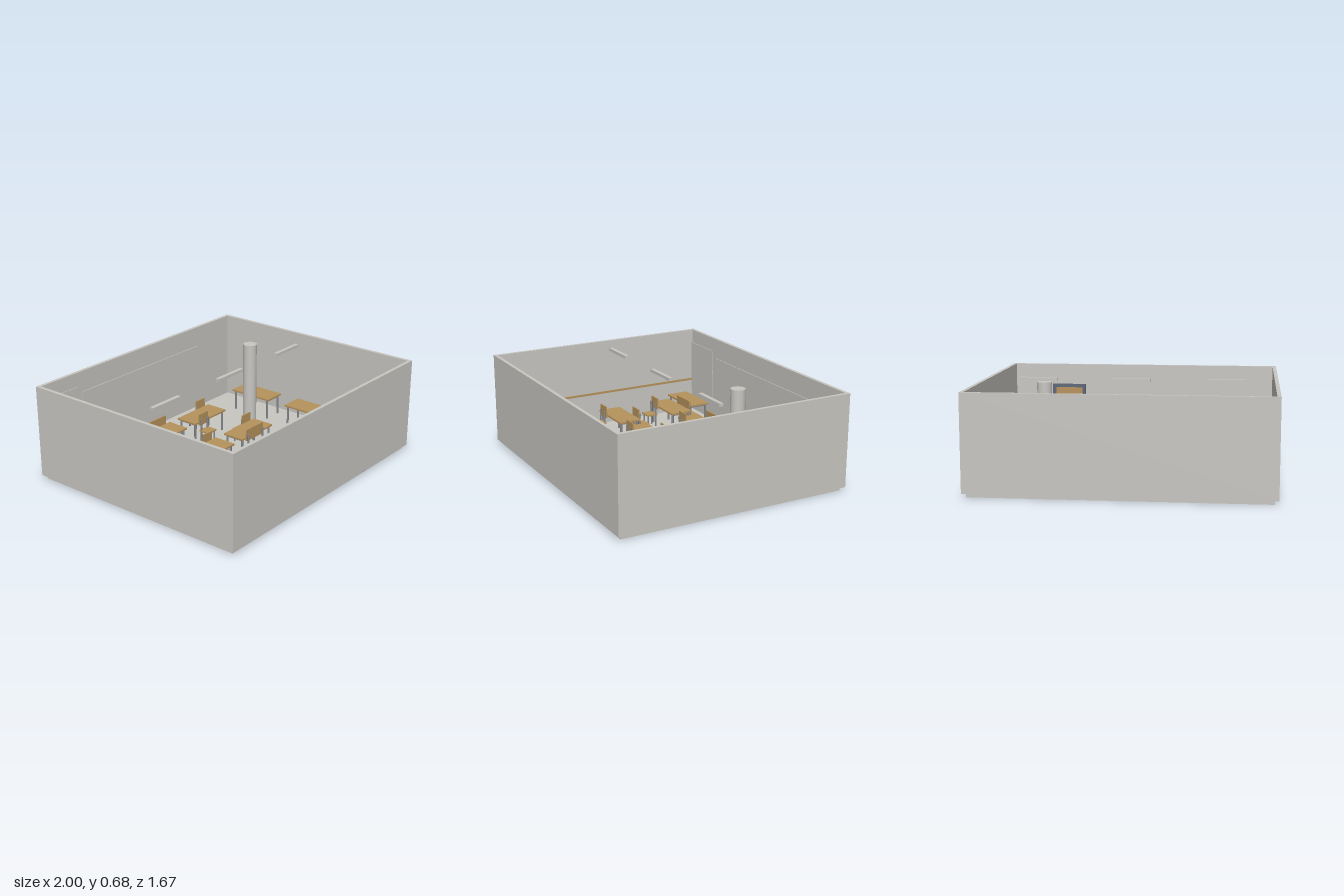
import * as THREE from 'three';

const mat = (name, color) => {
  const m = new THREE.MeshStandardMaterial({ color });
  m.name = name;
  return m;
};

export function createModel() {
  const plaster = mat('pale grey plaster', 0xc8c6c1);
  const wood = mat('light wood', 0xb5925c);
  const frameBlue = mat('slate blue frame', 0x5b6675);
  const steel = mat('grey steel', 0x85888c);

  const room = new THREE.Group();
  room.name = 'classroom';
  const FLOOR = 0.028;

  const add = (parent, name, geometry, material) => {
    const mesh = new THREE.Mesh(geometry, material);
    mesh.name = name;
    parent.add(mesh);
    return mesh;
  };
  // Box given by its lower and upper limits on each axis
  const box = (parent, name, material, [x0, x1], [y0, y1], [z0, z1]) => {
    const m = add(parent, name, new THREE.BoxGeometry(x1 - x0, y1 - y0, z1 - z0), material);
    m.position.set((x0 + x1) / 2, (y0 + y1) / 2, (z0 + z1) / 2);
    return m;
  };
  const leg = (parent, name, x, z, y0, y1, r) => {
    const m = add(parent, name, new THREE.CylinderGeometry(r, r, y1 - y0, 10), steel);
    m.position.set(x, (y0 + y1) / 2, z);
  };
  const rect = (path, w, d) => path
    .moveTo(-w, -d).lineTo(w, -d).lineTo(w, d).lineTo(-w, d).closePath();

  // Floor slab and the open ring of walls
  box(room, 'floor', plaster, [-0.974, 0.974], [0, FLOOR], [-0.812, 0.812]);
  const ring = new THREE.Shape();
  rect(ring, 1, 0.837);
  const hole = new THREE.Path();
  rect(hole, 0.975, 0.813);
  ring.holes.push(hole);
  const walls = new THREE.ExtrudeGeometry(ring, { depth: 0.648, bevelEnabled: false });
  walls.rotateX(-Math.PI / 2);
  add(room, 'walls', walls, plaster).position.y = 0.027;

  // Column
  const column = add(room, 'column', new THREE.CylinderGeometry(0.05, 0.05, 0.647, 32), plaster);
  column.position.set(0.56, FLOOR + 0.3235, -0.263);

  // Ceiling light bars
  for (const x of [-0.65, 0, 0.65]) {
    box(room, 'ceilingLight', plaster, [x - 0.13, x + 0.13], [0.653, 0.673], [-0.014, 0.014]);
  }

  // Wall panels and the wooden rail
  box(room, 'screenPanel', plaster, [-0.975, -0.657], [0.2, 0.573], [-0.814, -0.808]);
  box(room, 'writingBoard', plaster, [-0.612, 0.605], [0.2, 0.526], [-0.814, -0.807]);
  box(room, 'wallRail', wood, [-0.976, -0.971], [0.264, 0.28], [-0.813, 0.813]);

  // Door with its frame, set into the front wall
  const door = new THREE.Group();
  door.name = 'door';
  room.add(door);
  for (const x of [0.439, 0.667]) {
    box(door, 'doorJamb', frameBlue, [x, x + 0.024], [0.021, 0.524], [0.793, 0.832]);
  }
  box(door, 'doorHead', frameBlue, [0.463, 0.667], [0.5, 0.524], [0.793, 0.832]);
  box(door, 'doorLeaf', wood, [0.463, 0.667], [FLOOR, 0.5], [0.801, 0.83]);

  // Desk: board on four legs with rails below
  const addDesk = (x, z, turned = false) => {
    const desk = new THREE.Group();
    desk.name = 'desk';
    desk.position.set(x, 0, z);
    if (turned) desk.rotation.y = Math.PI / 2;
    box(desk, 'deskTop', wood, [-0.172, 0.172], [0.176, 0.188], [-0.084, 0.084]);
    for (const sx of [-1, 1]) {
      for (const sz of [-1, 1]) leg(desk, 'deskLeg', sx * 0.152, sz * 0.066, FLOOR, 0.176, 0.008);
      box(desk, 'deskRail', steel, [sx * 0.152 - 0.005, sx * 0.152 + 0.005], [0.164, 0.176], [-0.066, 0.066]);
    }
    room.add(desk);
  };

  // Chair: the backrest stands at z = 0, the seat reaches towards +z
  const addChair = (x, z, dir, width) => {
    const chair = new THREE.Group();
    chair.name = 'chair';
    chair.position.set(x, 0, z);
    if (dir < 0) chair.rotation.y = Math.PI;
    const h = width / 2;
    box(chair, 'seat', wood, [-h, h], [0.119, 0.129], [0.008, 0.094]);
    box(chair, 'backrest', wood, [-h, h], [0.165, 0.25], [0.002, 0.012]);
    for (const s of [-1, 1]) {
      const lx = s * (h - 0.012);
      leg(chair, 'frontLeg', lx, 0.082, FLOOR, 0.119, 0.006);
      leg(chair, 'backLeg', lx, 0.018, FLOOR, 0.215, 0.006);
    }
    room.add(chair);
  };

  // Pupil desks in rows
  const cols = [-0.652, -0.218, 0.214];
  const rows = [-0.437, -0.004, 0.429];
  rows.forEach((z, r) => cols.forEach((x, c) => {
    if (r < 2 || c < 2) addDesk(x, z);
  }));

  // Teacher desk and two side desks
  addDesk(-0.76, -0.653);
  addDesk(0.818, -0.395, true);
  addDesk(0.818, 0.105, true);

  // Chairs: [column, row, side of desk, offset from desk centre, width]
  const N = 0.092, W = 0.184;
  const chairs = [
    [0, 0, -1, 0.043, W], [1, 0, -1, 0.043, W], [2, 0, -1, 0.088, N],
    [0, 0, 1, -0.086, N], [1, 0, 1, -0.09, N], [2, 0, 1, -0.09, N],
    [0, 1, -1, 0.088, N], [1, 1, -1, 0.088, N], [2, 1, -1, 0.088, N],
    [0, 1, 1, -0.086, N], [1, 1, 1, -0.09, N], [2, 1, 1, -0.044, W],
    [0, 2, -1, 0.088, N], [1, 2, -1, 0.088, N],
    [0, 2, 1, -0.042, W], [1, 2, 1, -0.09, N],
  ];
  for (const [c, r, dir, dx, w] of chairs) addChair(cols[c] + dx, rows[r] + dir * 0.083, dir, w);

  return room;
}
